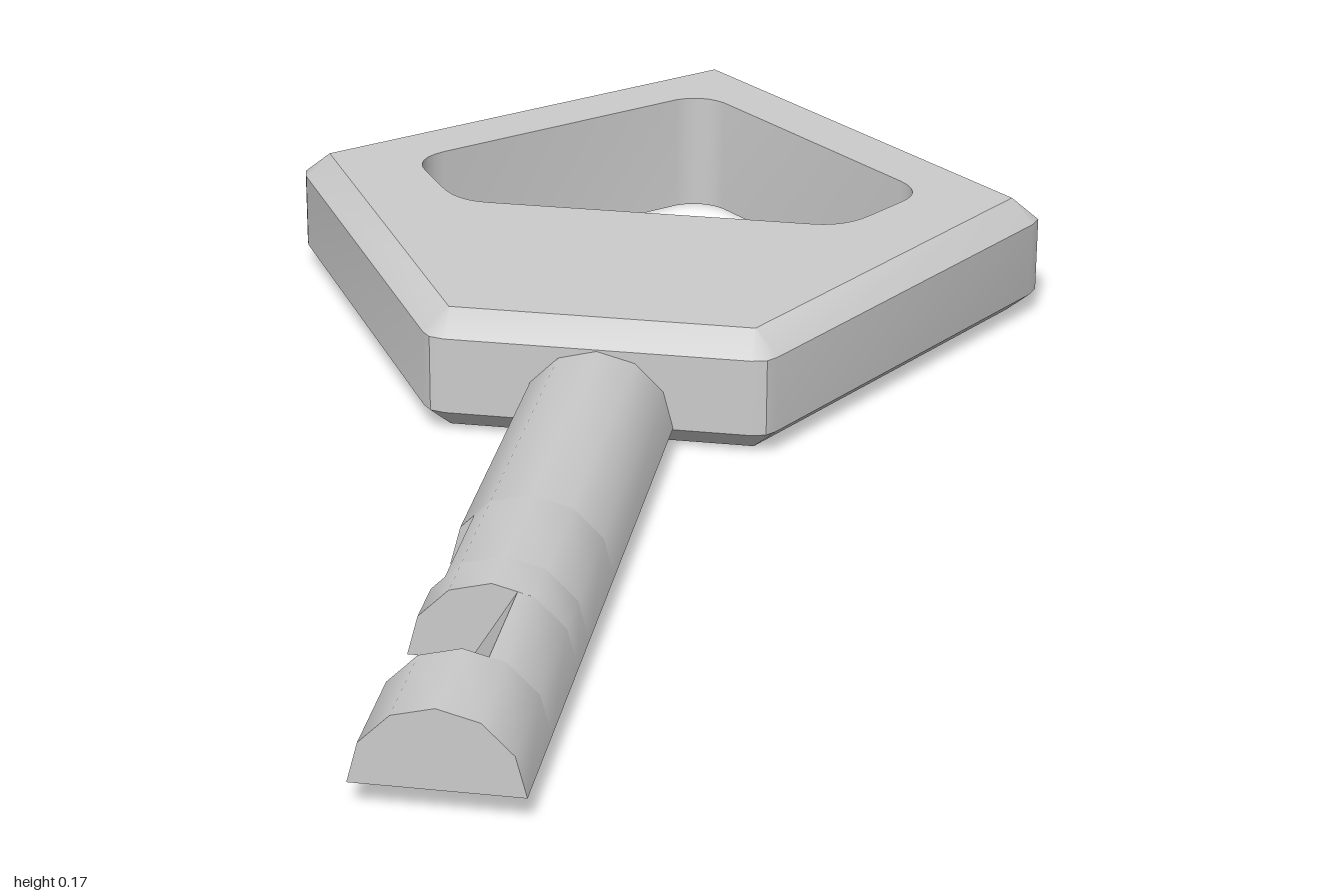
import * as THREE from 'three';
import { mergeGeometries, toCreasedNormals } from 'three/addons/utils/BufferGeometryUtils.js';

const Y0 = 0.002, Y1 = 0.168, BEVEL = 0.031;
const CREASE = 0.6;

// closed band of quads between two rings of [x, z] points at heights ya and yb
function band(a, ya, b, yb) {
  const pos = [];
  const same = (p, q) => Math.hypot(p[0] - q[0], p[1] - q[1]) < 1e-6;
  for (let i = 0; i < a.length; i++) {
    const j = (i + 1) % a.length;
    const at = (p, y) => [p[0], y, p[1]];
    if (!same(a[i], a[j])) pos.push(...at(a[i], ya), ...at(b[i], yb), ...at(a[j], ya));
    if (!same(b[i], b[j])) pos.push(...at(b[i], yb), ...at(b[j], yb), ...at(a[j], ya));
  }
  const g = new THREE.BufferGeometry();
  g.setAttribute('position', new THREE.Float32BufferAttribute(pos, 3));
  return g;
}

// completes a half outline (tip first) with its mirror image
const mirrored = (half) => [...half, ...half.slice(1).reverse().map(([x, z]) => [-x, z])];

function bowGeometry() {
  // outer wall with softened corners, and the sharper inset outline of the flat faces
  const outer = mirrored([[0, -1], [0.508, -0.532], [0.519, -0.515], [0.513, -0.494],
    [0.231, 0.017], [0.22, 0.03], [0.2, 0.035]]);
  const inset = mirrored([[0, -0.952], [0.482, -0.51], [0.482, -0.51], [0.482, -0.51],
    [0.2, 0], [0.2, 0], [0.2, 0]]);

  // rounded finger hole, drawn with y = -z
  const hole = new THREE.Path();
  hole.moveTo(0.035, 0.813);
  hole.lineTo(0.325, 0.545);
  hole.quadraticCurveTo(0.36, 0.51, 0.335, 0.47);
  hole.lineTo(0.297, 0.41);
  hole.quadraticCurveTo(0.27, 0.366, 0.225, 0.366);
  hole.lineTo(-0.225, 0.366);
  hole.quadraticCurveTo(-0.27, 0.366, -0.297, 0.41);
  hole.lineTo(-0.335, 0.47);
  hole.quadraticCurveTo(-0.36, 0.51, -0.325, 0.545);
  hole.lineTo(-0.035, 0.813);
  hole.quadraticCurveTo(0, 0.837, 0.035, 0.813);
  const holeRing = hole.getPoints(6).reverse().map((p) => [p.x, -p.y]);

  // flat face, turned over for the underside
  const corners = [0, 3, 6, 7, 10].map((i) => new THREE.Vector2(inset[i][0], -inset[i][1]));
  const face = new THREE.Shape(corners);
  face.holes.push(hole);
  const top = new THREE.ShapeGeometry(face, 6).toNonIndexed();
  top.deleteAttribute('uv');
  top.deleteAttribute('normal');
  top.rotateX(-Math.PI / 2);
  const bottom = top.clone().rotateZ(Math.PI);
  top.translate(0, Y1, 0);
  bottom.translate(0, Y0, 0);

  const merged = mergeGeometries([
    top, bottom,
    band(inset, Y0, outer, Y0 + BEVEL),
    band(outer, Y0 + BEVEL, outer, Y1 - BEVEL),
    band(outer, Y1 - BEVEL, inset, Y1),
    band(holeRing, Y0, holeRing, Y1),
  ]);
  return toCreasedNormals(merged, CREASE);
}

// half-round shank sections: whole, shallow notch, slanted deep notch
const rightSide = [[0.1, 0.035], [0.087, 0.085], [0.05, 0.122]];
const whole = [...rightSide, [0, 0.135], [-0.05, 0.122], [-0.087, 0.085], [-0.1, 0.035]];
const shallow = [...rightSide, [0, 0.135], [-0.05, 0.122], [-0.07, 0.102], [-0.07, 0.035]];
const slanted = [...rightSide, [0.03, 0.127], [-0.026, 0.035]];

export function createModel() {
  const group = new THREE.Group();
  group.name = 'key';
  const material = new THREE.MeshStandardMaterial({ color: 0xcccccc });
  const add = (parent, name, geometry) => {
    const mesh = new THREE.Mesh(geometry, material);
    mesh.name = name;
    parent.add(mesh);
  };

  add(group, 'bow', bowGeometry());

  // shank, in lengths along z
  const shank = new THREE.Group();
  shank.name = 'shank';
  group.add(shank);
  const lengths = [
    ['shankBase', whole, 0.02, 0.465],
    ['shallowNotch', shallow, 0.465, 0.63],
    ['tooth', whole, 0.63, 0.7],
    ['slantedNotch', slanted, 0.7, 0.86],
    ['shankTip', whole, 0.86, 1],
  ];
  for (const [name, profile, z0, z1] of lengths) {
    const shape = new THREE.Shape(profile.map(([x, y]) => new THREE.Vector2(x, y)));
    const g = new THREE.ExtrudeGeometry(shape, { depth: z1 - z0, bevelEnabled: false });
    g.translate(0, 0, z0);
    add(shank, name, toCreasedNormals(g, CREASE));
  }
  return group;
}
